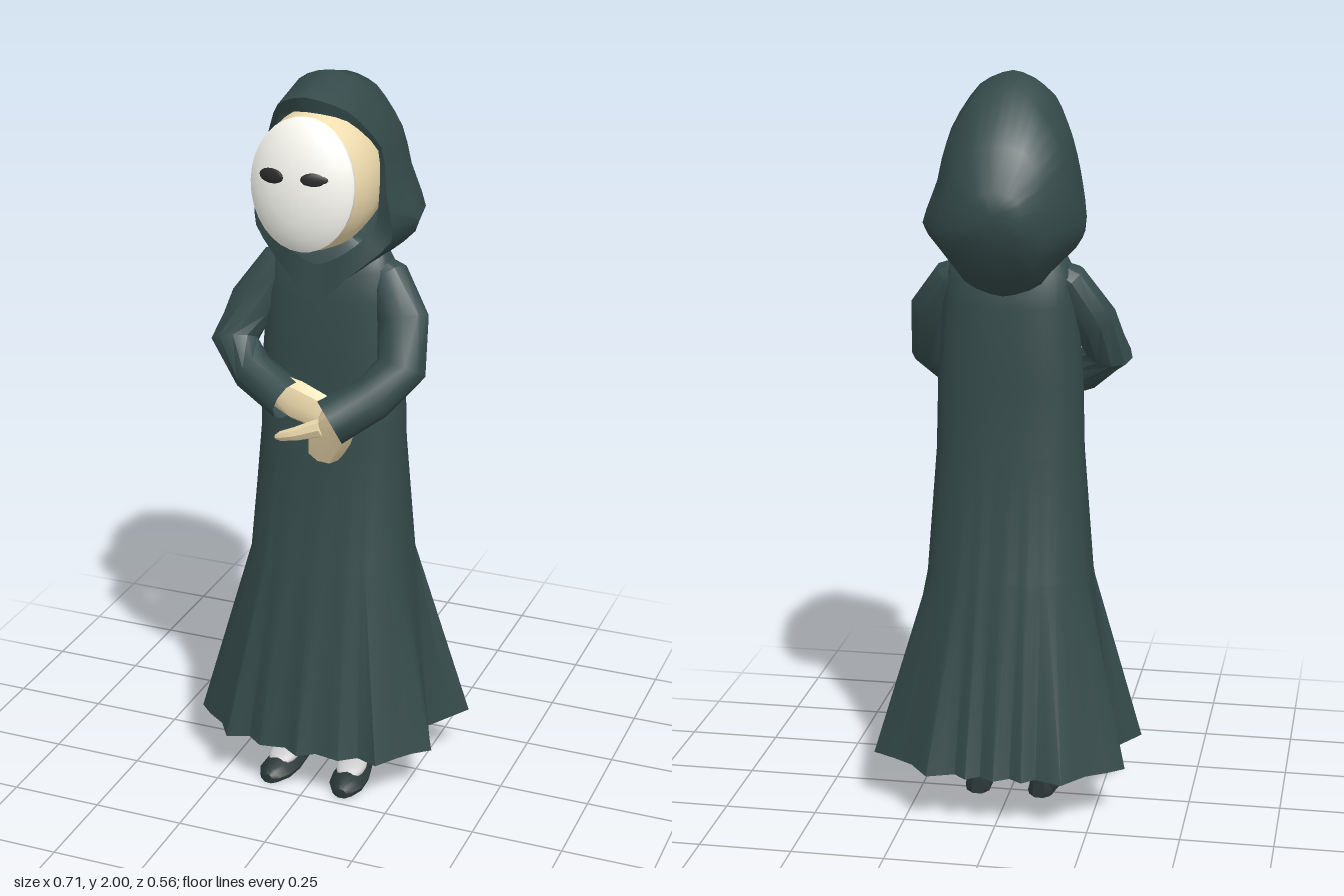
import * as THREE from 'three';
import { toCreasedNormals } from 'three/addons/utils/BufferGeometryUtils.js';

const V = (x, y, z) => new THREE.Vector3(x, y, z);
const mat = (color) => new THREE.MeshStandardMaterial({ color, side: THREE.DoubleSide });
const CLOTH = mat(0x354a4a), SKIN = mat(0xf2deb0), MASK = mat(0xfcfcf4), DARK = mat(0x2b2b2b), SHOE = mat(0x2c3838), GREY = mat(0xcccccc);

function add(parent, name, geometry, material) {
  const mesh = new THREE.Mesh(geometry, material);
  mesh.name = name;
  parent.add(mesh);
  return mesh;
}

// Skin over closed rings that run counter-clockwise about the direction of travel
function loft(rings, { capStart = false, capEnd = false, crease = 0.7 } = {}) {
  const n = rings[0].length, pos = [], idx = [];
  rings.forEach((r) => r.forEach((p) => pos.push(p.x, p.y, p.z)));
  for (let i = 0; i < rings.length - 1; i++) {
    for (let j = 0; j < n; j++) {
      const a = i * n + j, b = i * n + (j + 1) % n;
      idx.push(a, b, b + n, a, b + n, a + n);
    }
  }
  const cap = (k, flip) => {
    const c = rings[k].reduce((s, p) => s.add(p), V(0, 0, 0)).divideScalar(n);
    const m = pos.length / 3;
    pos.push(c.x, c.y, c.z);
    for (let j = 0; j < n; j++) {
      const a = k * n + j, b = k * n + (j + 1) % n;
      flip ? idx.push(m, b, a) : idx.push(m, a, b);
    }
  };
  if (capStart) cap(0, true);
  if (capEnd) cap(rings.length - 1, false);
  const g = new THREE.BufferGeometry();
  g.setAttribute('position', new THREE.Float32BufferAttribute(pos, 3));
  g.setIndex(idx);
  return toCreasedNormals(g, crease);
}

// Tapered limb through stations [x, y, z, width radius, depth radius]
function limb(stations, sides = 10, caps = true) {
  const c = stations.map((s) => V(s[0], s[1], s[2]));
  const rings = stations.map((s, i) => {
    const d = c[Math.min(i + 1, c.length - 1)].clone().sub(c[Math.max(i - 1, 0)]).normalize();
    const v = V(0, 0, 1).addScaledVector(d, -d.z).normalize();
    const u = v.clone().cross(d);
    return Array.from({ length: sides }, (_, k) => {
      const t = (k / sides) * Math.PI * 2;
      return c[i].clone().addScaledVector(u, Math.cos(t) * s[3]).addScaledVector(v, Math.sin(t) * (s[4] ?? s[3]));
    });
  });
  return loft(rings, { capStart: caps, capEnd: caps });
}

// Completes a half outline (centre line to centre line) by mirroring in x
const mirrorRing = (half) => [...half, ...half.slice(1, -1).reverse().map((p) => V(-p.x, p.y, p.z))];

function robe() {
  const hemHalf = [[0, .28], [.045, .25], [.115, .262], [.16, .228], [.22, .25], [.26, .19], [.343, .115], [.28, -.005],
    [.347, -.135], [.238, -.205], [.183, -.278], [.11, -.25], [.076, -.28], [.04, -.255], [0, -.282]];
  const half = [];
  hemHalf.forEach(([x, z], i) => {
    if (i) half.push(V((x + hemHalf[i - 1][0]) / 2, .147, (z + hemHalf[i - 1][1]) / 2));
    half.push(V(x, .147, z));
  });
  const hem = mirrorRing(half);
  // The widest folds sit slightly askew
  hem.forEach((p) => { if (Math.abs(p.x) > .3) p.x -= .08 * p.z; });
  // Levels above the pleats: y, half width, front z, back z
  const levels = [[.66, .225, .165, -.17], [1, .2, .105, -.122], [1.2, .195, .1, -.115], [1.4, .18, .085, -.108],
    [1.48, .172, .07, -.098], [1.525, .15, .05, -.08], [1.56, .08, .03, -.05]];
  const rings = levels.map(([y, w, f, b]) => hem.map((p) => {
    const t = Math.atan2(p.x / .35, p.z / .28), s = Math.sin(t), c = Math.cos(t);
    const round = (v) => Math.sign(v) * Math.abs(v) ** .8;
    return V(w * round(s), y, (c > 0 ? f : -b) * round(c));
  }));
  return loft([hem, ...rings], { capEnd: true, crease: .8 });
}

function hood() {
  // Half outlines from the face opening to the back, each from crown to chin
  const halves = [
    [[0, 1.925, .178], [.09, 1.9, .135], [.145, 1.81, .06], [.155, 1.69, .08], [.142, 1.61, .08], [.08, 1.55, .12], [0, 1.51, .12]],
    [[0, 1.965, .19], [.095, 1.925, .14], [.155, 1.82, .065], [.178, 1.7, .085], [.187, 1.58, .072], [.085, 1.483, .12], [0, 1.41, .135]],
    [[0, 2, .04], [.085, 1.965, .02], [.158, 1.85, 0], [.182, 1.69, -.02], [.195, 1.58, -.03], [.12, 1.5, 0], [0, 1.49, 0]],
    [[0, 1.965, -.1], [.08, 1.935, -.1], [.148, 1.83, -.11], [.178, 1.69, -.12], [.175, 1.59, -.12], [.1, 1.47, -.12], [0, 1.435, -.125]],
    [[0, 1.835, -.205], [.065, 1.82, -.205], [.112, 1.76, -.21], [.134, 1.68, -.215], [.125, 1.58, -.215], [.075, 1.51, -.2], [0, 1.485, -.195]],
    [[0, 1.725, -.256], [.035, 1.72, -.256], [.06, 1.7, -.257], [.068, 1.66, -.258], [.06, 1.62, -.257], [.035, 1.595, -.252], [0, 1.585, -.25]],
  ];
  const rings = halves.map((h) => {
    const curve = new THREE.CatmullRomCurve3(mirrorRing(h.map((p) => V(...p))), true, 'catmullrom', .35);
    // The left side hangs a little fuller
    return Array.from({ length: 36 }, (_, k) => {
      const p = curve.getPoint(k / 36);
      if (p.x > 0 && p.z < 0) p.x *= 1 + .17 * Math.max(0, 1 - Math.abs(p.y - 1.62) / .1);
      return p;
    });
  });
  return loft([...rings, rings.at(-1).map((p) => V(p.x * .4, 1.67 + (p.y - 1.67) * .4, -.267))], { capEnd: true, crease: .8 });
}

function lathe(points, squash) {
  const g = new THREE.LatheGeometry(points.map(([r, h]) => new THREE.Vector2(r, h)), 32);
  g.scale(1, 1, squash);
  g.rotateX(Math.PI / 2);
  return toCreasedNormals(g, .7);
}

function shoe() {
  // Stations along the foot: z, half width, top height
  const stations = [[-.045, .018, .085], [-.03, .034, .1], [.015, .038, .092], [.06, .044, .072], [.12, .052, .062], [.175, .048, .052], [.21, .03, .042], [.222, .014, .032]];
  return loft(stations.map(([z, w, h]) => Array.from({ length: 16 }, (_, k) => {
    // Sides lean in toward the top, the sole is flat
    const t = (k / 16) * Math.PI * 2, s = Math.sin(t);
    return V(w * Math.cos(t) * (1 - .35 * Math.max(0, s)), s > 0 ? .02 + (h - .02) * s : Math.max(.005, .02 + .03 * s), z);
  })), { capStart: true, capEnd: true });
}

export function createModel() {
  const model = new THREE.Group();
  model.name = 'hoodedFigure';
  add(model, 'robe', robe(), CLOTH);
  add(model, 'hood', hood(), CLOTH);

  // Head with mask and eye slots, tipped slightly back
  const head = new THREE.Group();
  head.name = 'head';
  head.position.set(0, 1.728, 0);
  head.rotation.x = -.09;
  model.add(head);
  add(head, 'face', lathe([[0, -.12], [.1, -.1], [.14, -.02], [.152, .08], [.148, .14], [.132, .19], [0, .197]], 1.22), SKIN);
  const mask = add(head, 'mask', lathe([[0, 0], [.133, 0], [.139, .008], [.139, .018], [.13, .026], [.11, .04], [.075, .055], [.035, .063], [0, .065]], 1.23), MASK);
  mask.position.z = .195;
  for (const [x, turn] of [[-.068, -.3], [.05, .25]]) {
    const eye = add(head, x > 0 ? 'leftEye' : 'rightEye', new THREE.SphereGeometry(1, 16, 10), DARK);
    eye.scale.set(.038, .019, .008);
    eye.position.set(x, .024, .25);
    eye.rotation.y = turn;
  }

  // Sleeves bent across the waist
  add(model, 'leftSleeve', limb([[.1, 1.495, -.01, .03, .04], [.15, 1.46, -.005, .055, .055], [.208, 1.36, .035, .072, .055],
    [.222, 1.245, .085, .068, .057], [.165, 1.175, .14, .06], [.07, 1.115, .205, .064, .062]], 10, false), CLOTH);
  add(model, 'rightSleeve', limb([[-.1, 1.495, -.01, .03, .04], [-.15, 1.46, -.005, .055, .055], [-.215, 1.35, .03, .066, .055],
    [-.253, 1.255, .07, .066, .057], [-.18, 1.19, .12, .056], [-.06, 1.143, .165, .058]], 10, false), CLOTH);

  // Clasped hands
  add(model, 'rightHand', limb([[-.11, 1.165, .145, .045, .035], [-.04, 1.146, .16, .056, .036], [.035, 1.12, .16, .05, .03]], 8), SKIN);
  add(model, 'leftHand', limb([[.1, 1.13, .19, .045, .04], [.062, 1.075, .16, .058, .045], [.035, 1.025, .138, .054, .046], [.024, .993, .132, .044, .04]], 8), SKIN);
  add(model, 'leftThumb', limb([[.04, 1.09, .185, .026], [-.03, 1.062, .188, .019], [-.075, 1.046, .182, .014], [-.092, 1.04, .18, .006]], 8), SKIN);

  // Legs and shoes
  for (const side of [-1, 1]) {
    const name = side > 0 ? 'left' : 'right';
    add(model, name + 'Leg', limb([[side * .09, .07, -.008, .016], [side * .09, .16, -.008, .018], [side * .09, .32, -.015, .034], [side * .085, .6, 0, .045]], 12), SKIN);
    const foot = new THREE.Group();
    foot.name = name + 'Foot';
    foot.position.x = side * .09;
    foot.rotation.y = side * .09;
    model.add(foot);
    add(foot, name + 'Shoe', shoe(), SHOE);
    const instep = add(foot, name + 'Instep', new THREE.SphereGeometry(1, 16, 10), GREY);
    instep.scale.set(.042, .02, .06);
    instep.position.set(0, .05, .115);
    instep.rotation.x = .18;
  }
  return model;
}
